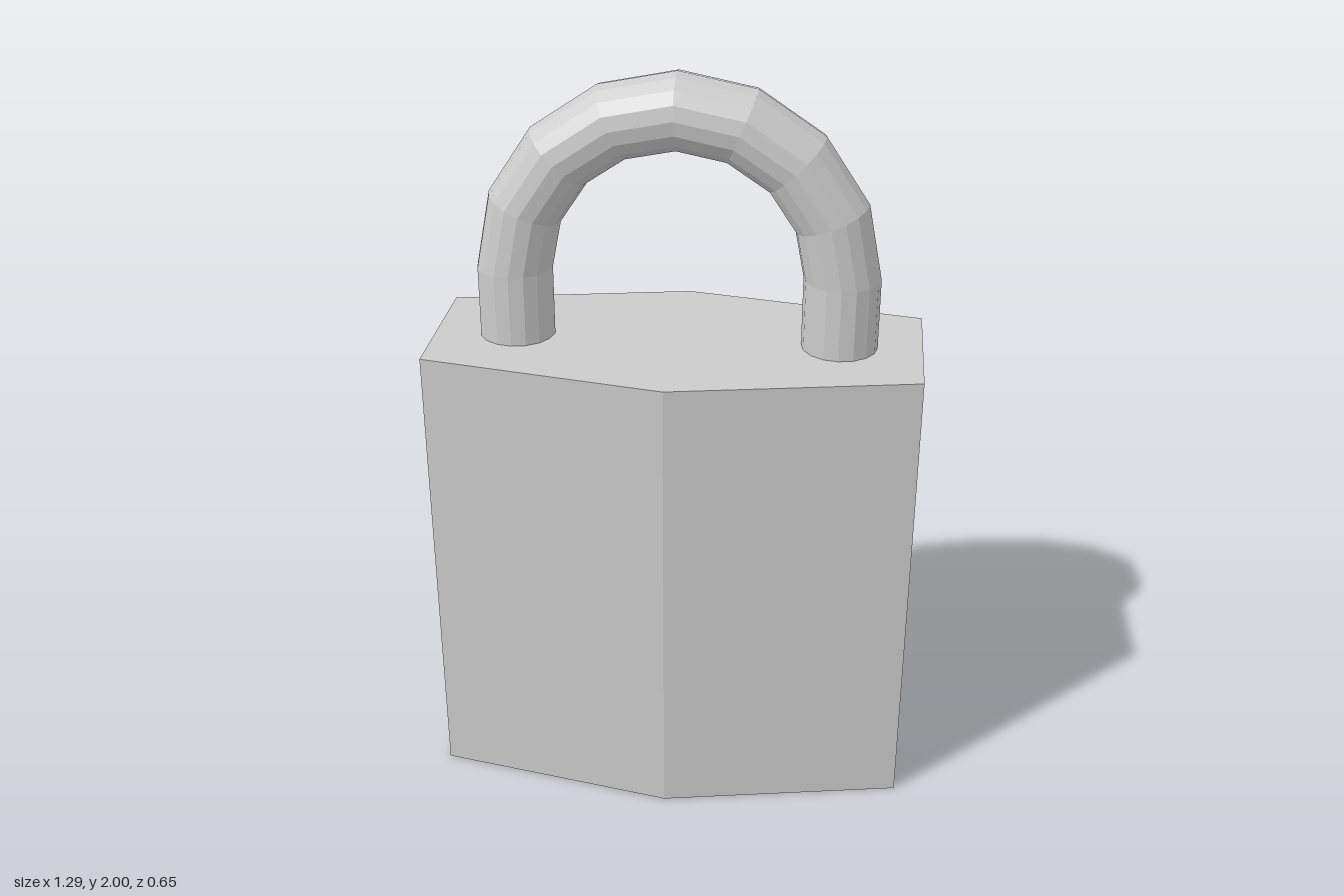
import * as THREE from 'three';

const BODY_HEIGHT = 1.28;
const ARCH_Y = 1.47;
const ARCH_RADIUS = 0.427;
const ARCH_STEPS = 8;

// Straight leg, half circle, straight leg, with one ring at every joint
class ShacklePath extends THREE.Curve {
  getPoint(t, target = new THREE.Vector3()) {
    const step = t * (ARCH_STEPS + 2) - 1;
    const angle = Math.PI * THREE.MathUtils.clamp(step / ARCH_STEPS, 0, 1);
    const drop = Math.max(0, -step, step - ARCH_STEPS) * (ARCH_Y - BODY_HEIGHT);
    return target.set(
      ARCH_RADIUS * Math.cos(angle),
      ARCH_Y + ARCH_RADIUS * Math.sin(angle) - drop,
      0
    );
  }
  getPointAt(t, target) {
    return this.getPoint(t, target);
  }
  getTangentAt(t, target = new THREE.Vector3()) {
    const step = t * (ARCH_STEPS + 2) - 1;
    const angle = Math.PI * THREE.MathUtils.clamp(step / ARCH_STEPS, 0, 1);
    return target.set(-Math.sin(angle), Math.cos(angle), 0);
  }
}

export function createModel() {
  const model = new THREE.Group();
  model.name = 'padlock';
  const metal = new THREE.MeshStandardMaterial({ color: 0xcccccc, flatShading: true });

  // Six-sided body with a ridge down the middle of the front and back
  const outline = new THREE.Shape([
    [0.645, -0.206], [0.645, 0.206], [0, 0.326],
    [-0.645, 0.206], [-0.645, -0.206], [0, -0.326],
  ].map(([x, y]) => new THREE.Vector2(x, y)));
  const bodyGeometry = new THREE.ExtrudeGeometry(outline, { depth: BODY_HEIGHT, bevelEnabled: false });
  bodyGeometry.rotateX(-Math.PI / 2);
  const body = new THREE.Mesh(bodyGeometry, metal);
  body.name = 'body';
  model.add(body);

  // Faceted round shackle standing on the body
  const shackle = new THREE.Mesh(
    new THREE.TubeGeometry(new ShacklePath(), ARCH_STEPS + 2, 0.1, 16, false),
    metal
  );
  shackle.name = 'shackle';
  model.add(shackle);

  return model;
}
